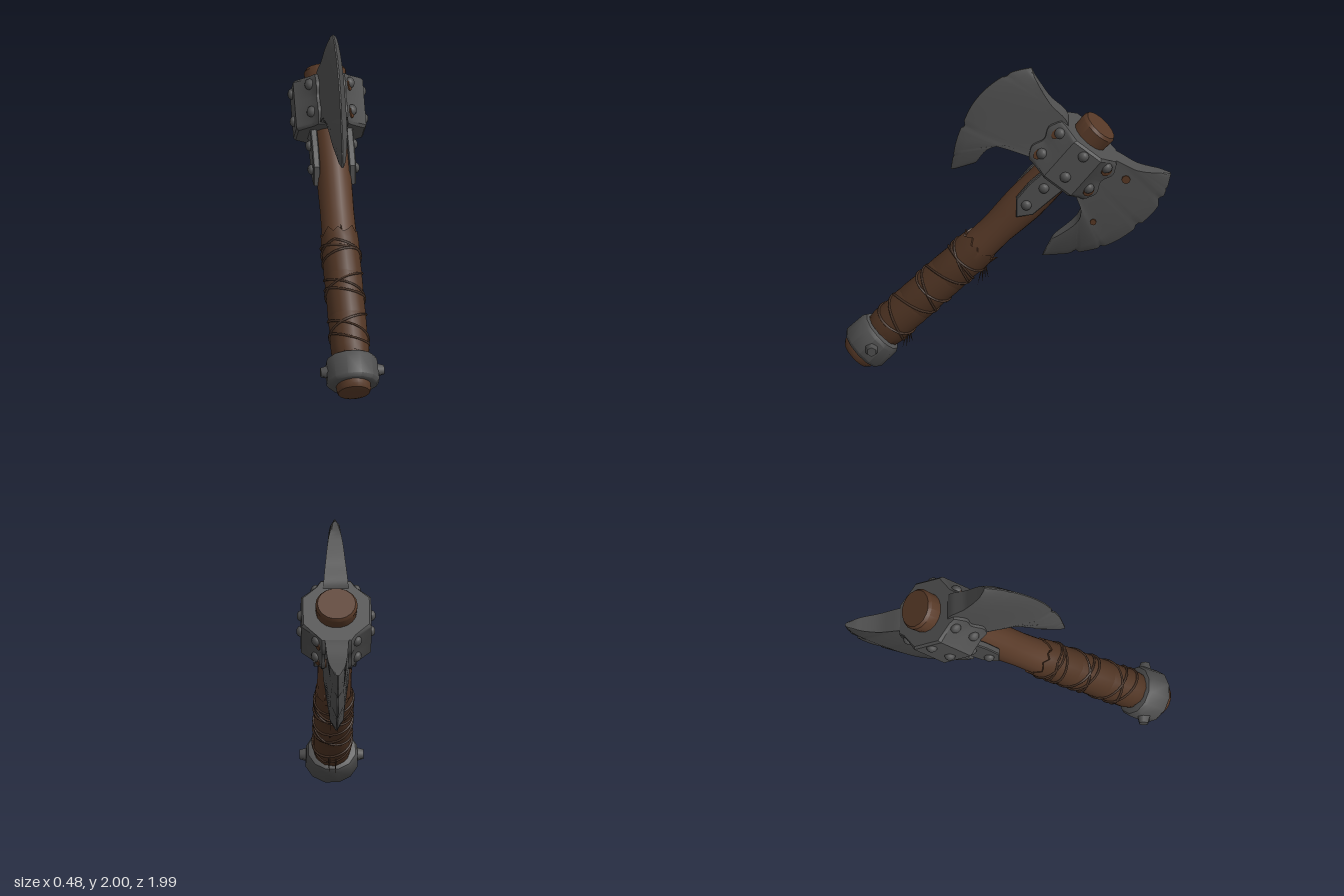
import * as THREE from 'three';
import { toCreasedNormals } from 'three/addons/utils/BufferGeometryUtils.js';

const V = (x, y, z = 0) => new THREE.Vector3(x, y, z);
const mat = (name, color) => {
  const m = new THREE.MeshStandardMaterial({ color });
  m.name = name;
  return m;
};

// Closed solid through a row of equal rings, capped at both ends
function loft(rings, crease = 0.6) {
  const n = rings[0].length, pts = rings.flat(), idx = [];
  for (let i = 0; i < rings.length - 1; i++)
    for (let j = 0; j < n; j++) {
      const k = (j + 1) % n, a = i * n + j, b = i * n + k;
      idx.push(a, b, b + n, a, b + n, a + n);
    }
  const end = (rings.length - 1) * n;
  for (let j = 1; j < n - 1; j++) idx.push(0, j + 1, j, end, end + j, end + j + 1);
  // turn the faces outward
  let volume = 0;
  for (let i = 0; i < idx.length; i += 3)
    volume += pts[idx[i]].dot(pts[idx[i + 1]].clone().cross(pts[idx[i + 2]]));
  if (volume < 0) idx.reverse();
  const g = new THREE.BufferGeometry().setFromPoints(pts);
  g.setIndex(idx);
  return toCreasedNormals(g, crease);
}

export function createModel() {
  const iron = mat('iron', 0x4f4f4f), wood = mat('wood', 0x573927);
  const leather = mat('leather', 0x4f3423), cord = mat('cord', 0x443024);
  const rust = mat('rust', 0x573723);

  // Work plane: x runs to the back, y up, z to the model's left
  const axe = new THREE.Group();
  axe.name = 'axe';
  axe.rotation.y = Math.PI / 2 - 0.024;
  axe.position.x = -0.009;
  const add = (name, geo, material, parent = axe) => {
    const m = new THREE.Mesh(geo, material);
    m.name = name;
    parent.add(m);
    return m;
  };

  // Slightly bent centre line of the handle
  const spine = new THREE.CatmullRomCurve3([
    V(-0.925, 0.067), V(-0.818, 0.174), V(-0.176, 0.8), V(-0.048, 0.933),
    V(0.17, 1.163), V(0.406, 1.425), V(0.572, 1.612)]);
  const length = spine.getLength();
  const onHandle = (d, a, r, rz = r) => {
    const t = THREE.MathUtils.clamp(d / length, 0, 1);
    const p = spine.getPointAt(t), q = spine.getTangentAt(t);
    return V(p.x + q.y * r * Math.cos(a), p.y - q.x * r * Math.cos(a), rz * Math.sin(a));
  };
  const ring = (d, r, n, rz = r, jag = () => 0) => Array.from({ length: n }, (_, j) => {
    const a = (j + 0.5) / n * Math.PI * 2;
    return onHandle(d + jag(j), a, r, rz);
  });

  // Wooden handle
  add('handle', loft([[0, 0.07], [0.008, 0.098], [0.03, 0.115], [0.06, 0.12], [0.25, 0.115],
    [0.9, 0.108], [1.1, 0.106], [1.22, 0.104], [1.34, 0.115], [1.46, 0.124], [1.7, 0.118],
    [length - 0.1, 0.116], [length - 0.02, 0.12], [length, 0.108]]
    .map(([d, r]) => ring(d, r, 18, d > 1.7 ? r * 1.08 : Math.min(r, 0.106)))), wood);

  // Iron collar near the butt, with rounded rims
  add('collar', loft([[0.054, 0.12], [0.06, 0.14], [0.08, 0.154], [0.21, 0.15], [0.232, 0.138], [0.24, 0.115]]
    .map(([d, r]) => ring(d, r, 12, r * 1.07)), 0.7), iron);
  for (const s of [-1, 1]) {
    const bolt = add('collarBolt', new THREE.CylinderGeometry(0.03, 0.045, 0.05, 6), iron);
    bolt.position.set(-0.825, 0.178, s * 0.17);
    bolt.rotation.x = s * Math.PI / 2;
  }

  // Leather grip in overlapping layers with ragged ends
  const ragged = (j) => [0, 0.035, 0.01, 0.05, 0.02][j % 5];
  [[0.25, 0.52], [0.48, 0.8], [0.75, 1.04]].forEach(([a, b], i) => {
    add('gripLayer', loft([
      ring(a, 0.117, 22, 0.111, (j) => -ragged(j + i) * 0.4),
      ring(a + 0.04, 0.126, 22, 0.118), ring((a + b) / 2, 0.121, 22, 0.115),
      ring(b - 0.04, 0.126, 22, 0.117),
      ring(b, 0.12, 22, 0.113, ragged)], 0.8), leather);
  });

  // Cord bindings: crossing spirals and slanted loops
  const binding = (name, d0, d1, turns, phase, tilt = 0) => {
    const pts = [];
    for (let i = 0; i <= 60; i++) {
      const f = i / 60, a = phase + f * turns * Math.PI * 2;
      pts.push(onHandle(d0 + (d1 - d0) * f + tilt * Math.cos(a + 0.9), a, 0.125, 0.119));
    }
    add(name, new THREE.TubeGeometry(new THREE.CatmullRomCurve3(pts), 90, 0.0075, 5), cord);
  };
  binding('spiralCord', 0.3, 0.99, 2.5, 0.4);
  binding('crossCord', 0.3, 0.99, -2.5, 0.4);
  [[0.36, 0.05], [0.67, 0.04], [0.9, -0.03], [0.96, 0.03]]
    .forEach(([d, tilt]) => binding('loopCord', d, d, 1, 0, tilt));

  // Frayed cord ends and leather scraps hanging below the grip
  for (const [x, y, len] of [[-0.62, 0.255, 0.15], [-0.41, 0.465, 0.06], [-0.16, 0.7, 0.17]])
    for (let i = 0; i < 4; i++) {
      const reach = len * (1 - i * 0.13);
      const strand = add('frayedEnd', new THREE.ConeGeometry(0.008, reach, 4), cord);
      strand.position.set(x + i * 0.012, y - reach / 2, (i % 2 - 0.5) * 0.04);
      strand.rotation.z = Math.PI + (i - 1.5) * 0.15;
    }
  for (const [x, y, turn] of [[-0.1, 0.71, -1.2], [-0.4, 0.44, -1.2], [-0.25, 0.87, 0]]) {
    const scrap = add('leatherScrap', new THREE.ConeGeometry(0.03, 0.1, 4), leather);
    scrap.position.set(x, y, 0);
    scrap.rotation.z = turn;
    scrap.scale.z = 0.6;
  }

  // Blades: paired points on the cutting edge and the inner outline, with small nicks
  const curve = (pts) => new THREE.SplineCurve(pts.map(([x, y]) => new THREE.Vector2(x, y)));
  function blade(name, edge, inner, nicks) {
    const outer = curve(edge), back = curve(inner), steps = 56, rings = [];
    for (let i = 0; i <= steps; i++) {
      const t = i / steps, o = outer.getPoint(t), b = back.getPoint(t);
      const m = b.clone().lerp(o, 0.8);
      o.lerp(b, nicks[i] || 0);
      const swell = Math.pow(Math.sin(Math.PI * t), 0.6);
      const h = 0.022 + 0.063 * swell, e = 0.014 + 0.03 * swell;
      rings.push([V(b.x, b.y, h), V(m.x, m.y, e), V(o.x, o.y, 0.004),
        V(o.x, o.y, -0.004), V(m.x, m.y, -e), V(b.x, b.y, -h)]);
    }
    add(name, loft(rings, 0.7), iron);
  }
  blade('frontBlade',
    [[0.15, 2], [0.02, 1.965], [-0.11, 1.875], [-0.21, 1.755], [-0.275, 1.61], [-0.31, 1.505],
      [-0.328, 1.41], [-0.342, 1.318]],
    [[0.168, 1.945], [0.262, 1.785], [0.37, 1.66], [0.35, 1.5], [0.17, 1.43], [0.02, 1.507],
      [-0.115, 1.478], [-0.193, 1.37]],
    { 9: 0.02, 10: 0.03, 31: 0.025, 32: 0.03, 48: 0.03 });
  blade('backBlade',
    [[1, 1.292], [0.973, 1.185], [0.914, 1.06], [0.824, 0.96], [0.69, 0.853], [0.556, 0.79],
      [0.396, 0.757], [0.214, 0.742]],
    [[0.945, 1.307], [0.797, 1.335], [0.62, 1.42], [0.48, 1.33], [0.42, 1.2], [0.45, 1.075],
      [0.42, 0.98], [0.278, 0.865]],
    { 8: 0.03, 12: 0.04, 13: 0.06, 14: 0.03, 25: 0.03, 26: 0.03, 39: 0.04, 47: 0.08, 48: 0.03 });

  // Socket block: faceted sleeve with wavy cheek ends
  const head = new THREE.Group();
  head.name = 'socket';
  head.position.set(0.406, 1.425, 0);
  head.rotation.z = THREE.MathUtils.degToRad(-39);
  axe.add(head);
  const sections = [];
  for (let i = 0; i <= 20; i++) {
    const rim = i === 0 || i === 20 ? 0.012 : 0;
    const w = 0.238 - 0.014 * Math.cos(i / 20 * Math.PI * 4) - rim;
    const quarter = [[w, 0.09], [0.175, 0.125 - rim], [0.105 - rim, 0.214 - rim]];
    const half = [...quarter, ...quarter.map(([v, z]) => [-v, z]).reverse()];
    sections.push([...half, ...half.map(([v, z]) => [v, -z]).reverse()]
      .map(([v, z]) => V(v, -0.17 + i * 0.016, z)));
  }
  add('socketBlock', loft(sections, 0.6), iron, head);

  // Rivets on the socket; those on the left cheeks are ringed with rust
  const rivet = (parent, x, y, z, turn, r = 0.034) => {
    const m = add('rivet', new THREE.SphereGeometry(r, 10, 8), iron, parent);
    m.position.set(x, y, z);
    m.rotation.y = turn;
    m.scale.z = 0.8;
  };
  for (const s of [-1, 1])
    for (const v of [-0.185, 0, 0.185])
      for (const u of [0.095, -0.08]) {
        const turn = Math.atan2(Math.sign(v) * 0.5, s * 0.86);
        const z = s * (v ? 0.125 : 0.214);
        rivet(head, v, u, z, turn);
        if (v && s > 0) {
          const stain = add('rustStain', new THREE.CylinderGeometry(0.036, 0.036, 0.009, 9), rust, head);
          stain.geometry.rotateX(Math.PI / 2);
          stain.position.set(v * 1.07, u - 0.02, z - 0.006);
          stain.rotation.y = turn;
          stain.scale.x = v > 0 ? 1 : 0.7;
        }
      }

  // Pointed straps down both sides of the handle
  const strap = new THREE.Shape([[0.3, 1.42], [0.4, 1.29], [0.31, 1.215], [0.155, 1.075],
    [0.06, 1.06], [0.062, 1.175], [0.14, 1.275]].map(([x, y]) => new THREE.Vector2(x, y)));
  for (const s of [-1, 1]) {
    const g = new THREE.ExtrudeGeometry(strap, { depth: 0.03, bevelEnabled: true,
      bevelSize: 0.006, bevelThickness: 0.006, bevelSegments: 1 });
    g.translate(0, 0, s > 0 ? 0.095 : -0.125);
    add('strap', g, iron);
    rivet(axe, 0.225, 1.25, s * 0.135, 0, 0.032);
    rivet(axe, 0.118, 1.137, s * 0.135, 0, 0.032);
  }

  // Rust spots on the left face of the back blade
  for (const [x, y, r] of [[0.725, 1.28, 0.027], [0.525, 0.995, 0.02]]) {
    const spot = add('rustSpot', new THREE.CylinderGeometry(r, r, 0.009, 8), rust);
    spot.rotation.x = Math.PI / 2;
    spot.position.set(x, y, 0.07);
  }

  const model = new THREE.Group();
  model.name = 'battleAxe';
  model.add(axe);
  return model;
}
